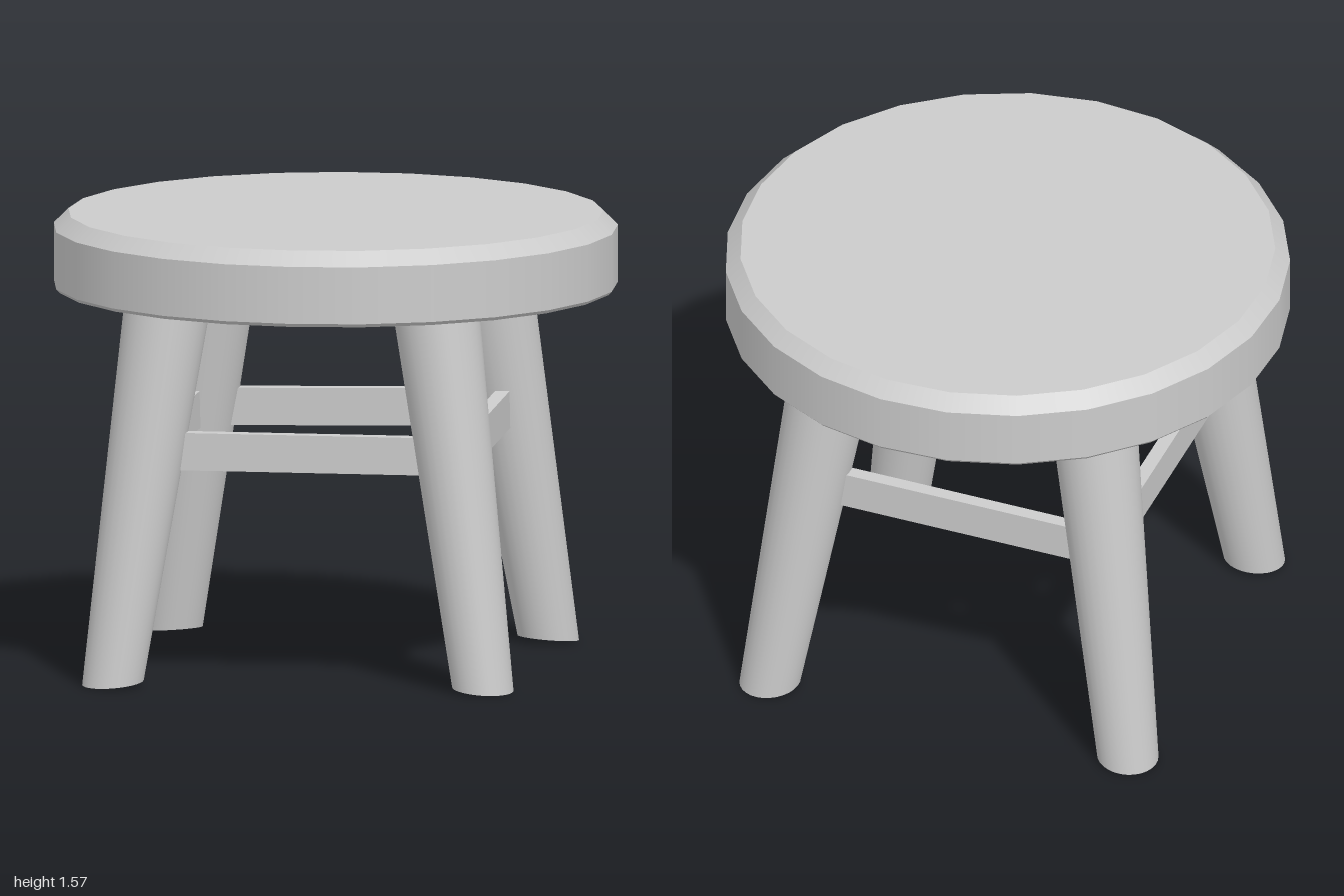
import * as THREE from 'three';

const material = new THREE.MeshStandardMaterial({ color: 0xcccccc });
const SIDES = 25;

// Leg centre lines: foot and top positions as [x, z]
const LEGS = [
  { name: 'frontLeg', foot: [-0.21, 0.885], top: [-0.155, 0.66] },
  { name: 'leftLeg', foot: [0.85, 0.165], top: [0.625, 0.155] },
  { name: 'backLeg', foot: [0.23, -0.885], top: [0.14, -0.67] },
  { name: 'rightLeg', foot: [-0.89, -0.2], top: [-0.67, -0.18] },
];
const LEG_TOP = 1.32;

function addMesh(parent, name, geometry) {
  const mesh = new THREE.Mesh(geometry, material);
  mesh.name = name;
  parent.add(mesh);
  return mesh;
}

// Point on a leg's centre line at height y
function legPoint(leg, y) {
  const t = y / LEG_TOP;
  return new THREE.Vector3(
    THREE.MathUtils.lerp(leg.foot[0], leg.top[0], t), y,
    THREE.MathUtils.lerp(leg.foot[1], leg.top[1], t));
}

// Tapered cylinder leaned along the centre line, with the foot cut lower on its outer side
function legGeometry(leg) {
  const geometry = new THREE.CylinderGeometry(0.15, 0.106, LEG_TOP, 28, 1);
  geometry.translate(0, LEG_TOP / 2, 0);
  const out = new THREE.Vector2(...leg.foot).normalize();
  const pos = geometry.attributes.position;
  for (let i = 0; i < pos.count; i++) {
    const x = pos.getX(i), y = pos.getY(i), z = pos.getZ(i);
    const c = legPoint(leg, y);
    const cut = y < 0.01 ? 0.011 - 0.1 * (x * out.x + z * out.y) : 0;
    pos.setXYZ(i, c.x + x, y + cut, c.z + z);
  }
  // Smooth side normals are kept close to the sheared shape
  const lean = new THREE.Vector3().subVectors(legPoint(leg, LEG_TOP), legPoint(leg, 0)).divideScalar(LEG_TOP);
  const nor = geometry.attributes.normal;
  const n = new THREE.Vector3();
  for (let i = 0; i < nor.count; i++) {
    n.fromBufferAttribute(nor, i);
    if (Math.abs(n.y) < 0.9) n.y -= n.x * lean.x + n.z * lean.z;
    n.normalize();
    nor.setXYZ(i, n.x, n.y, n.z);
  }
  return geometry;
}

// Flat bar joining two points
function addStretcher(parent, name, a, b) {
  const bar = addMesh(parent, name, new THREE.BoxGeometry(0.05, 0.13, a.distanceTo(b)));
  bar.position.addVectors(a, b).multiplyScalar(0.5);
  bar.lookAt(b);
}

export function createModel() {
  const model = new THREE.Group();
  model.name = 'stool';

  // Round seat: small lower bevel, straight rim, wide upper bevel
  const seat = new THREE.Group();
  seat.name = 'seat';
  seat.position.set(0.022, 0, -0.012);
  model.add(seat);
  const ring = (name, r0, r1, y0, y1) => {
    const g = new THREE.CylinderGeometry(r1, r0, y1 - y0, SIDES, 1, true, Math.PI / 2);
    addMesh(seat, name, g).position.y = (y0 + y1) / 2;
  };
  ring('seatLowerBevel', 0.962, 0.973, 1.31, 1.322);
  ring('seatRim', 0.973, 0.973, 1.322, 1.52);
  ring('seatUpperBevel', 0.973, 0.922, 1.52, 1.57);
  const top = addMesh(seat, 'seatTop', new THREE.CircleGeometry(0.922, SIDES));
  top.rotation.x = -Math.PI / 2;
  top.position.y = 1.57;
  const under = addMesh(seat, 'seatUnderside', new THREE.CircleGeometry(0.962, SIDES));
  under.rotation.x = Math.PI / 2;
  under.position.y = 1.31;

  // Four splayed legs
  for (const leg of LEGS) addMesh(model, leg.name, legGeometry(leg));

  // Stretchers between neighbouring legs, with their end heights
  const bars = [
    ['frontLeftStretcher', 0, 1, 0.807, 0.805],
    ['backLeftStretcher', 1, 2, 0.785, 0.84],
    ['backRightStretcher', 2, 3, 0.825, 0.8],
    ['frontRightStretcher', 3, 0, 0.805, 0.805],
  ];
  for (const [name, i, j, yi, yj] of bars) {
    addStretcher(model, name, legPoint(LEGS[i], yi), legPoint(LEGS[j], yj));
  }
  return model;
}
